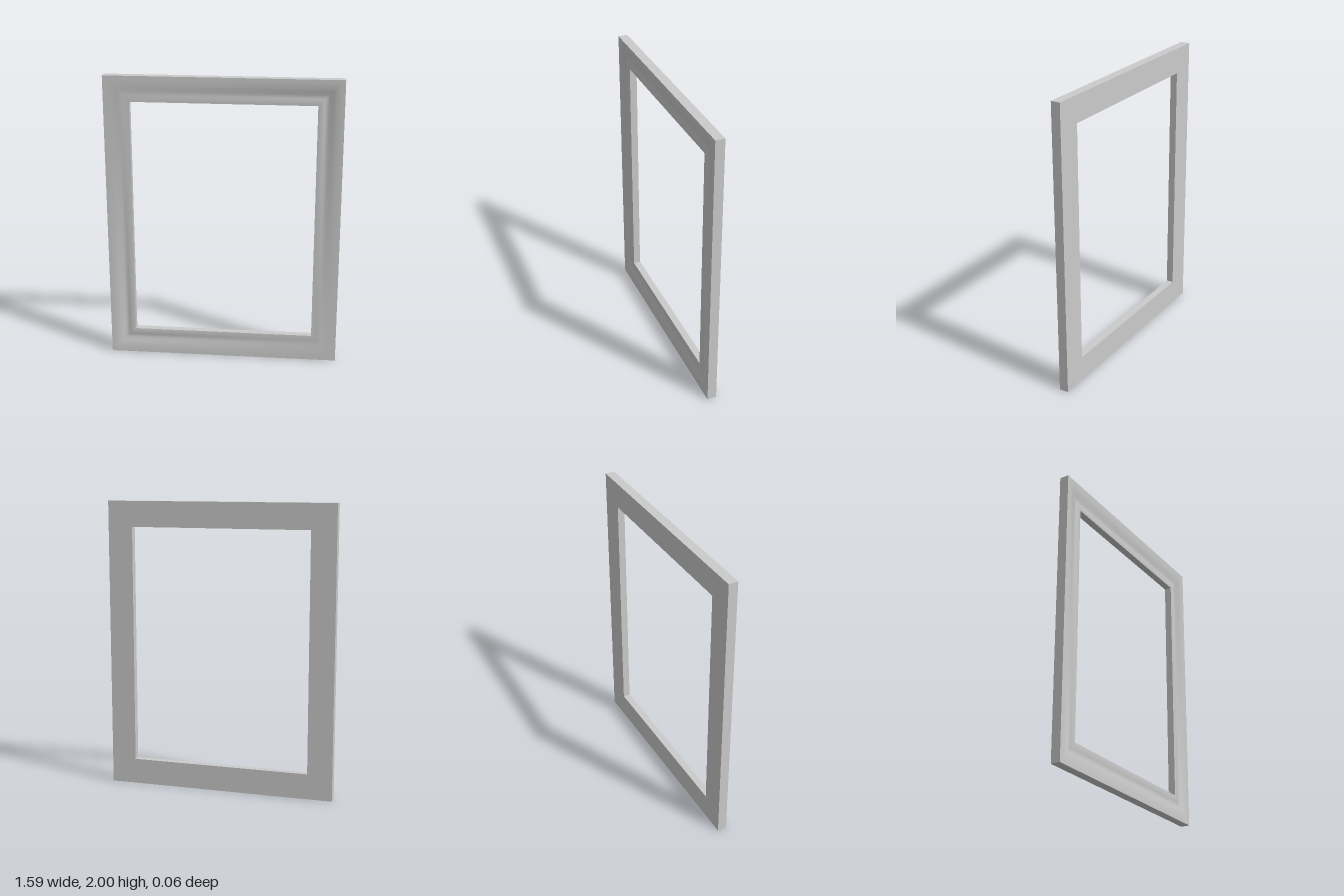
import * as THREE from 'three';
import { toCreasedNormals } from 'three/addons/utils/BufferGeometryUtils.js';

const HALF_W = 0.797, HALF_H = 1, BORDER = 0.173, HALF_D = 0.032;

// Moulding section: x = distance inward from the outer edge, y = depth (z).
function mouldingSection() {
  const face = new THREE.SplineCurve([
    [0, HALF_D], [0.03, 0.031], [0.06, 0.027], [0.085, 0.02], [0.1, 0.0155],
    [0.113, 0.013], [0.126, 0.014], [0.14, 0.017], [0.156, 0.0185], [BORDER, 0.0175],
  ].map(([d, z]) => new THREE.Vector2(d, z))).getPoints(27);
  // Close the section with the flat back.
  return [...face, new THREE.Vector2(BORDER, -HALF_D), new THREE.Vector2(0, -HALF_D)];
}

// Sweeps a closed section around a rectangle with mitred corners.
function sweepRectangle(section) {
  const corners = [[-1, -1], [1, -1], [1, 1], [-1, 1]];
  const positions = [], index = [];
  section.forEach((p, i) => {
    const next = (i + 1) % section.length;
    corners.forEach(([sx, sy], k) => {
      positions.push(sx * (HALF_W - p.x), HALF_H + sy * (HALF_H - p.x * 1.02), p.y);
      const k2 = (k + 1) % 4;
      const a = i * 4 + k, b = i * 4 + k2, c = next * 4 + k2, d = next * 4 + k;
      index.push(a, b, c, a, c, d);
    });
  });
  const geometry = new THREE.BufferGeometry();
  geometry.setAttribute('position', new THREE.Float32BufferAttribute(positions, 3));
  geometry.setIndex(index);
  // Soft mitres and moulding, sharp outer and inner edges.
  return toCreasedNormals(geometry, 0.85);
}

export function createModel() {
  const group = new THREE.Group();
  group.name = 'pictureFrame';
  const frame = new THREE.Mesh(
    sweepRectangle(mouldingSection()),
    new THREE.MeshStandardMaterial({ color: 0xcccccc }),
  );
  frame.name = 'frameMoulding';
  group.add(frame);
  return group;
}
